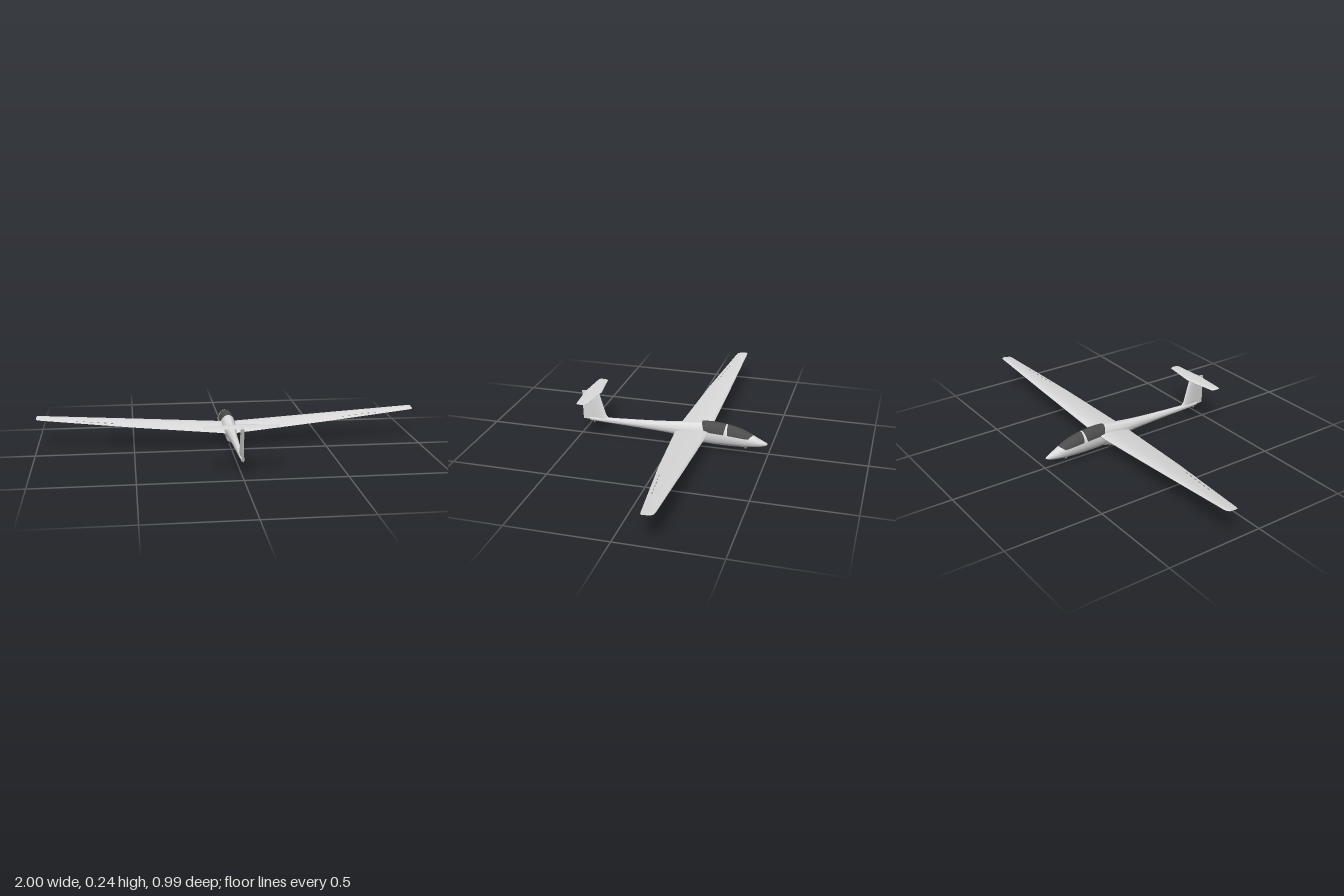
import * as THREE from 'three';
import { toCreasedNormals } from 'three/addons/utils/BufferGeometryUtils.js';

const V = (x, y, z) => new THREE.Vector3(x, y, z);
const lerp = THREE.MathUtils.lerp;

// Skin a list of rings; closed skins get end caps and are turned outward.
function loft(rings, closed = true) {
  const n = rings[0].length, pts = rings.flat(), idx = [];
  for (let i = 0; i < rings.length - 1; i++) {
    for (let j = 0; j < (closed ? n : n - 1); j++) {
      const a = i * n + j, b = i * n + (j + 1) % n;
      idx.push(a, b, a + n, b, b + n, a + n);
    }
  }
  if (closed) {
    for (const k of [0, rings.length - 1]) {
      const mid = rings[k].reduce((s, p) => s.add(p), V(0, 0, 0)).divideScalar(n);
      const c = pts.push(mid) - 1;
      for (let j = 0; j < n; j++) {
        const a = k * n + j, b = k * n + (j + 1) % n;
        if (k === 0) idx.push(b, a, c); else idx.push(a, b, c);
      }
    }
    let volume = 0;
    const t = V(0, 0, 0);
    for (let i = 0; i < idx.length; i += 3) {
      volume += pts[idx[i]].dot(t.crossVectors(pts[idx[i + 1]], pts[idx[i + 2]]));
    }
    if (volume < 0) idx.reverse();
  }
  const g = new THREE.BufferGeometry().setFromPoints(pts);
  g.setIndex(idx);
  if (closed) return toCreasedNormals(g, 0.7);
  g.computeVertexNormals();
  return g;
}

// Aerofoil ring from leading edge to trailing edge; thick is a vector.
function aerofoil(le, te, thick, n = 12) {
  const ring = [];
  for (let k = 0; k < 2 * n; k++) {
    const u = (1 + Math.cos(Math.PI * k / n)) / 2;
    const f = 5 * (0.2969 * Math.sqrt(u) - 0.126 * u - 0.3516 * u ** 2 + 0.2843 * u ** 3 - 0.1036 * u ** 4);
    ring.push(le.clone().lerp(te, u).addScaledVector(thick, k <= n ? f : -f));
  }
  return ring;
}

// Fuselage stations: z, top, bottom, half width
const stations = [
  [-0.494, 0.055, 0.051, 0.002], [-0.485, 0.062, 0.044, 0.008], [-0.46, 0.073, 0.037, 0.016],
  [-0.42, 0.093, 0.031, 0.026], [-0.37, 0.116, 0.026, 0.034], [-0.3, 0.135, 0.023, 0.039],
  [-0.22, 0.144, 0.023, 0.039], [-0.15, 0.141, 0.028, 0.038], [-0.08, 0.132, 0.041, 0.034],
  [0, 0.122, 0.054, 0.027], [0.1, 0.114, 0.061, 0.02], [0.25, 0.105, 0.068, 0.015],
  [0.4, 0.098, 0.074, 0.011], [0.453, 0.096, 0.077, 0.008],
];
const curveA = new THREE.CatmullRomCurve3(stations.map(s => V(s[0], s[1], s[2])), false, 'catmullrom', 0.5);
const curveB = new THREE.CatmullRomCurve3(stations.map(s => V(s[0], s[3], 0)), false, 'catmullrom', 0.5);
const table = curveA.getPoints(104).map((a, i) => [a.x, a.y, a.z, curveB.getPoint(i / 104).y]);

function station(z) {
  const i = Math.max(1, table.findIndex(r => r[0] >= z));
  const a = table[i - 1], b = table[i], t = (z - a[0]) / (b[0] - a[0]);
  return a.map((v, k) => lerp(v, b[k], t));
}
function hullPoint([z, top, bottom, w], angle, out = 0) {
  const c = (top + bottom) / 2, h = (top - bottom) / 2;
  return V((w + out) * Math.cos(angle), c + (h + out) * Math.sin(angle), z);
}

// Glazing patch lying on the hull; each end runs from its crown z to its sill z.
function glazing(front, back) {
  const rows = [];
  for (let i = 0; i <= 16; i++) {
    const row = [];
    for (let j = 0; j <= 24; j++) {
      const v = j / 12 - 1;
      const z = lerp(lerp(front[0], front[1], v * v), lerp(back[0], back[1], v * v), i / 16);
      const s = station(z), c = (s[1] + s[2]) / 2;
      const sill = z < -0.3 ? lerp(0.077, 0.092, (z + 0.42) / 0.12) : lerp(0.092, 0.1, (z + 0.3) / 0.15);
      const a = Math.asin(THREE.MathUtils.clamp((sill - c) / (s[1] - c), -0.9, 0.9));
      row.push(hullPoint(s, Math.PI / 2 - v * (Math.PI / 2 - a), 0.0014));
    }
    rows.push(row);
  }
  return loft(rows, false);
}

// Wing stations: x, leading z, leading y, trailing z, trailing y, thickness
const wingRows = [
  [0, -0.195, 0.092, -0.012, 0.08, 0.03], [0.045, -0.195, 0.096, -0.02, 0.083, 0.027],
  [0.5, -0.195, 0.126, -0.065, 0.115, 0.018], [0.975, -0.192, 0.157, -0.127, 0.15, 0.008],
  [0.992, -0.19, 0.159, -0.131, 0.152, 0.006], [1, -0.182, 0.159, -0.137, 0.154, 0.003],
];

export function createModel() {
  const group = new THREE.Group();
  const colour = (name, hex, side = THREE.FrontSide) => {
    const m = new THREE.MeshStandardMaterial({ color: hex, side });
    m.name = name;
    return m;
  };
  const white = colour('white gelcoat', 0xdcdcdc);
  const glass = colour('dark canopy', 0x4c4c4c, THREE.DoubleSide);
  const rubber = colour('tyre black', 0x303030);
  const metal = colour('hub and seam grey', 0x8a8a8a);
  const add = (name, geometry, material, x = 0, y = 0, z = 0) => {
    const m = new THREE.Mesh(geometry, material);
    m.name = name;
    m.position.set(x, y, z);
    group.add(m);
    return m;
  };

  // Fuselage and two-piece canopy
  add('fuselage', loft(table.map(s =>
    Array.from({ length: 32 }, (_, j) => hullPoint(s, j / 32 * Math.PI * 2)))), white);
  add('frontCanopy', glazing([-0.417, -0.396], [-0.288, -0.291]), glass);
  add('rearCanopy', glazing([-0.28, -0.271], [-0.155, -0.172]), glass);

  // Wings, mirrored, with small control hinges on top
  for (const s of [1, -1]) {
    const side = s > 0 ? 'left' : 'right';
    add(side + 'Wing', loft(wingRows.map(([x, lz, ly, tz, ty, t]) =>
      aerofoil(V(s * x, ly, lz), V(s * x, ty, tz), V(0, t, 0)))), white);
    for (let i = 0; i < 6; i++) {
      const t = i / 5;
      add(side + 'AileronHinge', new THREE.BoxGeometry(0.012, 0.003, 0.002), metal,
        s * lerp(0.61, 0.79, t), lerp(0.131, 0.1425, t), lerp(-0.101, -0.122, t));
    }
  }

  // Fin with rudder, blended into the tail boom: y, leading z, trailing z
  const finRows = [[0.083, 0.36, 0.49], [0.097, 0.342, 0.491], [0.103, 0.354, 0.492], [0.115, 0.364, 0.492],
    [0.175, 0.382, 0.493], [0.235, 0.4, 0.494], [0.243, 0.406, 0.494]];
  add('finAndRudder', loft(finRows.map(([y, lz, tz]) =>
    aerofoil(V(0, y, lz), V(0, y, tz), V(0.015, 0, 0)))), white);

  // Tailplane: x, leading z, trailing z, thickness
  const tailHalf = [[0, 0.386, 0.473, 0.009], [0.165, 0.409, 0.462, 0.006],
    [0.174, 0.413, 0.46, 0.005], [0.179, 0.425, 0.456, 0.003]];
  const tailRows = [...tailHalf.slice(1).reverse().map(([x, ...r]) => [-x, ...r]), ...tailHalf];
  add('tailplane', loft(tailRows.map(([x, lz, tz, t]) =>
    aerofoil(V(x, 0.24, lz), V(x, 0.24, tz), V(0, t, 0)))), white);

  // Main wheel fairing under the belly
  const fairing = add('wheelFairing', new THREE.SphereGeometry(1, 24, 16), white, 0, 0.042, -0.105);
  fairing.scale.set(0.018, 0.027, 0.085);

  // Wheels: name, z, y, radius, half width
  for (const [name, z, y, r, w] of [['main', -0.115, 0.02, 0.02, 0.009],
    ['nose', -0.382, 0.025, 0.013, 0.006], ['tail', 0.43, 0.073, 0.01, 0.005]]) {
    const profile = [[0, -w * 0.8], [r * 0.8, -w], [r * 0.95, -w * 0.6], [r, 0],
      [r * 0.95, w * 0.6], [r * 0.8, w], [0, w * 0.8]].map(p => new THREE.Vector2(...p));
    add(name + 'Wheel', new THREE.LatheGeometry(profile, 24).rotateZ(Math.PI / 2), rubber, 0, y, z);
    add(name + 'Hub', new THREE.CylinderGeometry(r * 0.45, r * 0.45, w * 2.1, 16).rotateZ(Math.PI / 2), metal, 0, y, z);
  }
  return group;
}
